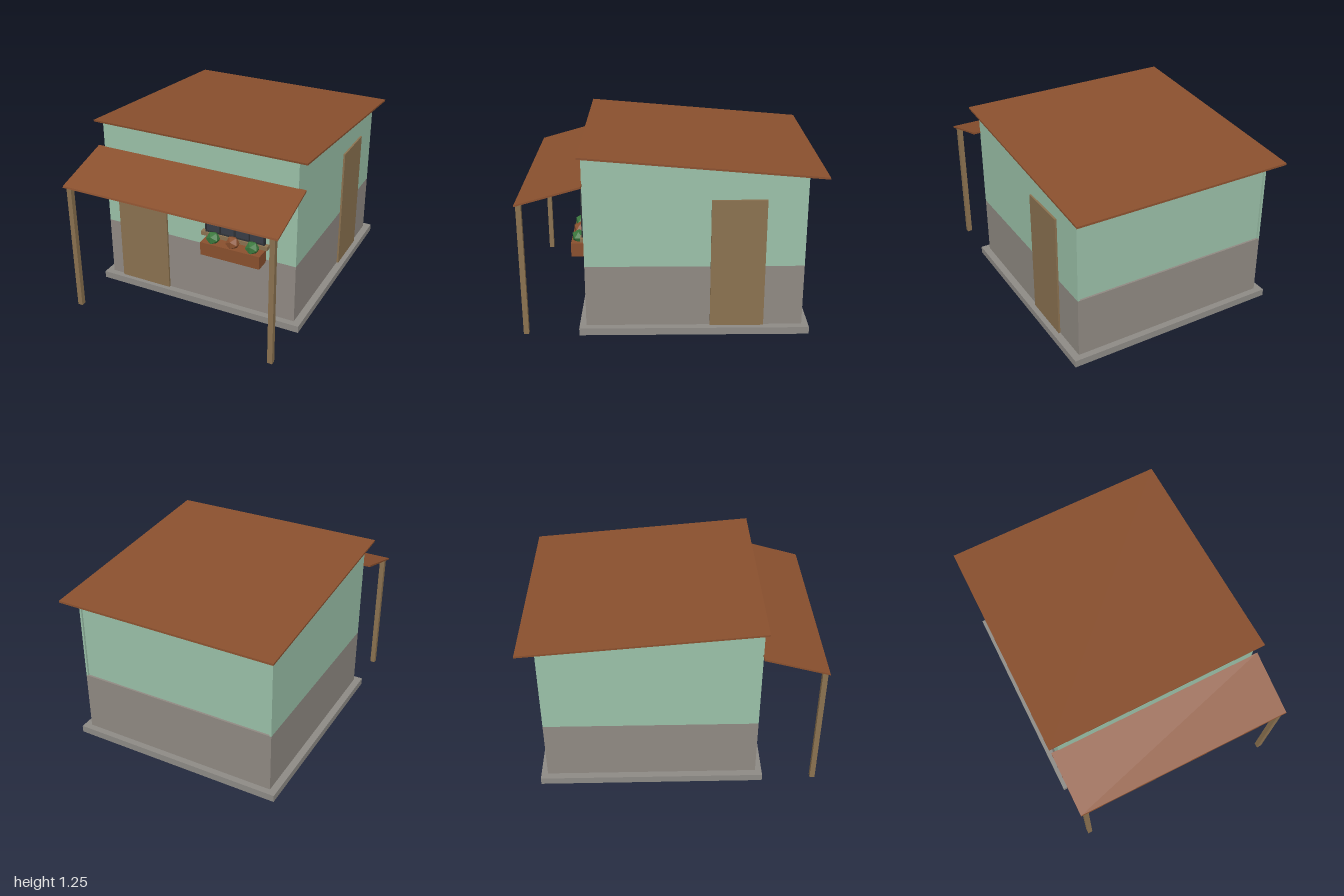
import * as THREE from 'three';

const mat = (name, color) => {
  const m = new THREE.MeshStandardMaterial({ color });
  m.name = name;
  return m;
};

export function createModel() {
  const house = new THREE.Group();
  house.name = 'house';

  const green = mat('mint plaster', 0x9bc1a9);
  const grey = mat('grey plaster', 0x908a83);
  const stone = mat('foundation stone', 0x8e8b86);
  const rust = mat('rust roofing', 0x8a502e);
  const wood = mat('wood', 0x8b7250);
  const glass = mat('dark glass', 0x383d46);
  const bars = mat('window bars', 0x2e3136);
  const leaf = mat('leaf green', 0x3a773c);

  const add = (name, geometry, material) => {
    const mesh = new THREE.Mesh(geometry, material);
    mesh.name = name;
    house.add(mesh);
    return mesh;
  };
  // Box given by its minimum and maximum on each axis
  const box = (name, material, x0, x1, y0, y1, z0, z1) => {
    const g = new THREE.BoxGeometry(x1 - x0, y1 - y0, z1 - z0);
    g.translate((x0 + x1) / 2, (y0 + y1) / 2, (z0 + z1) / 2);
    return add(name, g, material);
  };
  // Side profile of [z, y] points, extruded along x
  const profile = (name, material, points, x0, x1) => {
    const shape = new THREE.Shape(points.map(([z, y]) => new THREE.Vector2(-z, y)));
    const g = new THREE.ExtrudeGeometry(shape, { depth: x1 - x0, bevelEnabled: false });
    g.rotateY(Math.PI / 2);
    g.translate(x0, 0, 0);
    return add(name, g, material);
  };

  // Foundation and lower walls
  box('foundation', stone, -0.77, 0.77, 0, 0.05, -0.925, 0.615);
  box('lowerWalls', grey, -0.72, 0.72, 0.05, 0.48, -0.88, 0.57);

  // Upper walls: the back panel is set in slightly between the side walls
  const roofY = z => 1.235 - (0.59 - z) * 0.0865;
  const wall = back => [[0.57, 0.48], [0.57, roofY(0.57)], [back, roofY(back)], [back, 0.48]];
  profile('upperWalls', green, wall(-0.866), -0.706, 0.706);
  profile('upperWallLeft', green, wall(-0.88), 0.706, 0.72);
  profile('upperWallRight', green, wall(-0.88), -0.72, -0.706);

  // Sloping roof and porch canopy
  profile('roof', rust,
    [[0.59, 1.235], [0.592, 1.248], [-0.999, 1.111], [-1, 1.098]], -0.78, 0.78);
  profile('canopy', rust,
    [[1, 0.92], [0.997, 0.932], [0.567, 1.055], [0.567, 1.042]], -0.77, 0.77);

  // Canopy posts
  for (const side of [-1, 1]) {
    const post = box('canopyPost', wood, -0.0175, 0.0175, 0, 0.92, 0.955, 0.99);
    post.position.x = side * 0.731;
  }

  // Doors
  box('frontDoor', wood, -0.625, -0.24, 0.05, 0.965, 0.565, 0.585);
  box('sideDoor', wood, 0.715, 0.733, 0.05, 0.945, -0.62, -0.26);

  // Window: glass, crossbars and sill
  box('windowGlass', glass, 0.07, 0.505, 0.6, 0.945, 0.565, 0.592);
  for (const x of [0.075, 0.18, 0.288, 0.395, 0.5]) {
    box('windowUpright', bars, x - 0.005, x + 0.005, 0.6, 0.945, 0.57, 0.6);
  }
  for (const y of [0.605, 0.772, 0.94]) {
    box('windowCrossbar', bars, 0.07, 0.505, y - 0.005, y + 0.005, 0.57, 0.599);
  }
  box('windowSill', wood, 0.042, 0.53, 0.572, 0.6, 0.565, 0.61);

  // Flower box with faceted plants
  box('flowerBox', rust, 0.07, 0.505, 0.46, 0.555, 0.565, 0.675);
  [0.143, 0.288, 0.432].forEach((x, i) => {
    const plant = add(i === 1 ? 'flower' : 'bush',
      new THREE.IcosahedronGeometry(0.05, 0), i === 1 ? rust : leaf);
    plant.position.set(x, 0.578, 0.625);
  });

  return house;
}
